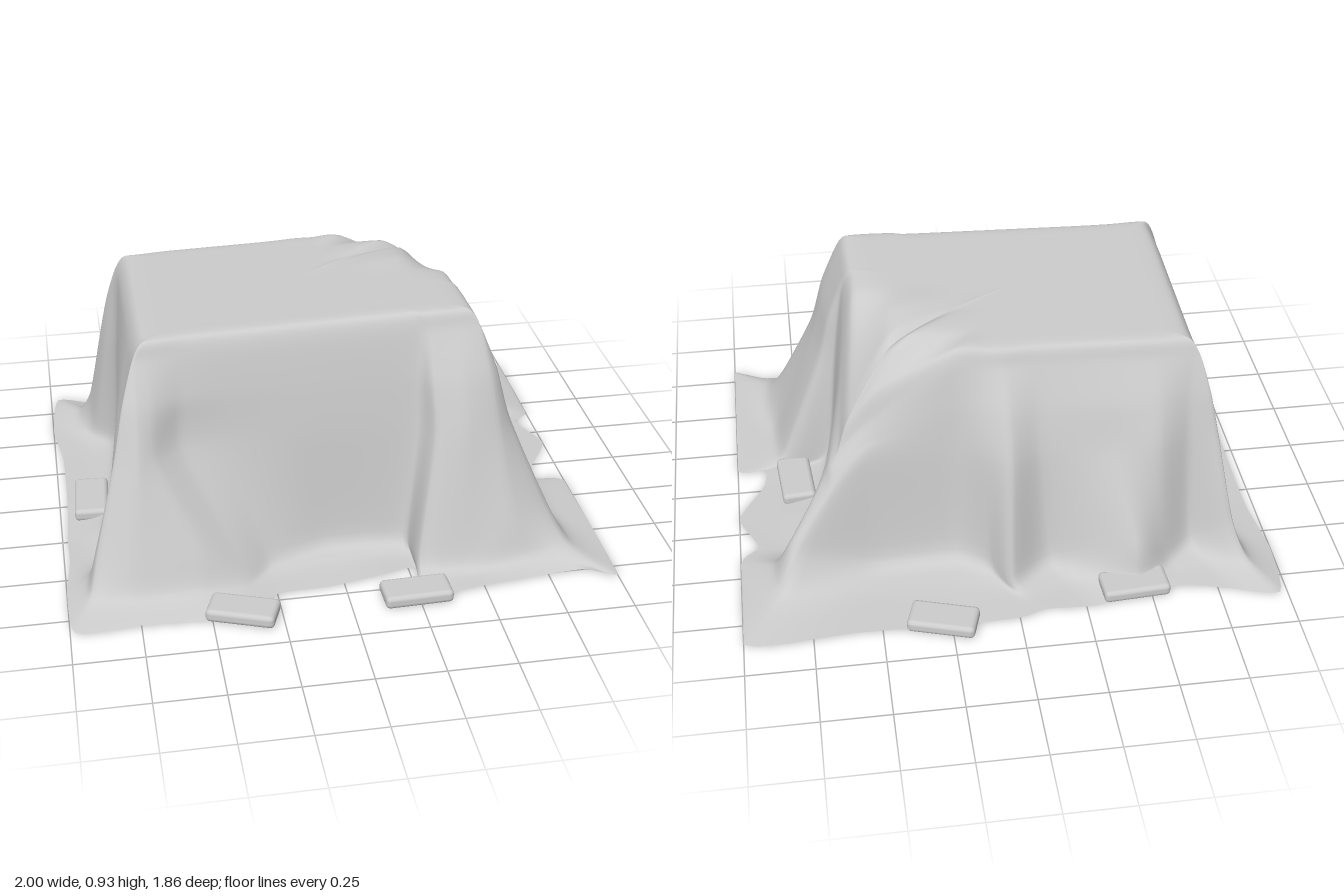
import * as THREE from 'three';
import { RoundedBoxGeometry } from 'three/addons/geometries/RoundedBoxGeometry.js';

const material = () => new THREE.MeshStandardMaterial({ color: 0xcccccc, side: THREE.DoubleSide });
const { clamp, lerp } = THREE.MathUtils;

// Cloth outlines as [x, z], running front, +x side, back, -x side.
// Each has the same columns, so a fold keeps its column from waist to hem.
const waist = [
  [-.80, .52], [-.72, .56], [-.65, .54], [-.55, .47], [-.40, .45], [-.12, .45], [.13, .45], [.31, .46], [.36, .55],
  [.47, .57], [.60, .54], [.66, .47], [.67, .33], [.65, .17], [.59, .13], [.59, 0], [.61, -.18], [.65, -.36],
  [.68, -.45], [.65, -.50], [.50, -.48], [.20, -.48], [.08, -.55], [0, -.60], [-.12, -.54], [-.38, -.56], [-.55, -.57],
  [-.67, -.51], [-.78, -.52], [-.77, -.44], [-.73, -.33], [-.75, 0], [-.77, .22], [-.75, .38], [-.78, .47],
];
const foot = [
  [-.88, .62], [-.75, .67], [-.52, .66], [-.36, .63], [-.26, .55], [-.05, .49], [.15, .49], [.27, .51], [.29, .66],
  [.46, .68], [.64, .65], [.79, .56], [.82, .36], [.80, .14], [.64, .12], [.64, 0], [.68, -.20], [.74, -.42],
  [.81, -.52], [.77, -.57], [.50, -.53], [.20, -.53], [.08, -.60], [.01, -.70], [-.15, -.60], [-.45, -.70], [-.58, -.64],
  [-.69, -.57], [-.83, -.62], [-.83, -.50], [-.75, -.36], [-.79, 0], [-.83, .24], [-.81, .42], [-.87, .52],
];
const hem = [
  [-.98, .83], [-.75, .83], [-.55, .83], [-.36, .83], [-.25, .72], [-.05, .70], [.15, .67], [.28, .64], [.27, .82],
  [.50, .80], [.88, .75], [1, .81], [1, .50], [1, .14], [.89, .12], [.90, .02], [1, -.16], [.93, -.34],
  [1, -.42], [1, -.85], [.60, -.85], [.25, -.85], [0, -.85], [-.10, -.82], [-.28, -.82], [-.45, -.80], [-.62, -.76],
  [-.80, -.80], [-.97, -.85], [-1, -.60], [-.97, -.35], [-.97, 0], [-.98, .22], [-.98, .40], [-1, .60],
];
// Columns where the cloth bunches up into a small peak at its foot
const peaks = [0, 1, 2, 10, 11, 18, 19, 25, 28, 34];

// Height of the covered top, sloping off towards the back +x corner
function topY(x, z) {
  const d = 1.08 * x - .48 * z - .53;
  return .918 + .03 * x + .022 * z - (d + Math.sqrt(d * d + .0006)) / 2;
}

function makeCloth() {
  const V = (x, y, z) => new THREE.Vector3(x, y, z);
  // Edge of the covered top: the waist clamped to the box beneath, corners eased
  const edge = waist.map(([x, z]) => {
    const ez = clamp(z, -.42, .39);
    const ex = clamp(x, -.70, .53 + .13 * Math.max(0, .1 - ez));
    return [lerp(ex, x, .12), lerp(ez, z, .12)];
  });
  const topRing = (s, drop = 0) => edge.map(([x, z]) => {
    const px = lerp(-.085, x, s), pz = lerp(-.015, z, s);
    return V(px, topY(px, pz) - drop, pz);
  });
  const shoulder = topRing(1, .07);
  const waistY = shoulder.map(p => Math.min(.5, p.y - .13));
  const rows = [
    topRing(.001), topRing(.35), topRing(.7), topRing(.93, .006), shoulder,
    shoulder.map((p, i) => V(lerp(p.x, waist[i][0], .54), lerp(p.y, waistY[i], .45), lerp(p.z, waist[i][1], .54))),
    waist.map(([x, z], i) => V(x, waistY[i], z)),
    foot.map(([x, z], i) => V(x, peaks.includes(i) ? .19 : .09, z)),
    foot.map(([x, z], i) => V(lerp(x, hem[i][0], .35), peaks.includes(i) ? .06 : .03, lerp(z, hem[i][1], .35))),
    hem.map(([x, z], i) => V(x, .015 + .005 * Math.sin(i * 2.3), z)),
  ];

  // Smooth around each ring, then down each column
  const around = waist.length * 5, down = 54;
  const rings = rows.map(r => new THREE.CatmullRomCurve3(r, true, 'catmullrom', .3));
  const pos = [], index = [];
  for (let i = 0; i < around; i++) {
    const column = new THREE.CatmullRomCurve3(rings.map(c => c.getPoint(i / around)), false, 'catmullrom', .35);
    for (let j = 0; j <= down; j++) {
      const p = column.getPoint(j / down);
      pos.push(clamp(p.x, -1, 1), Math.max(p.y, .008), p.z);
    }
  }
  const at = (i, j) => (i % around) * (down + 1) + j;
  for (let i = 0; i < around; i++) {
    for (let j = 0; j < down; j++) {
      const a = at(i, j), b = at(i + 1, j), c = at(i, j + 1), d = at(i + 1, j + 1);
      index.push(a, c, b, b, c, d);
    }
  }
  const geometry = new THREE.BufferGeometry();
  geometry.setAttribute('position', new THREE.Float32BufferAttribute(pos, 3));
  geometry.setIndex(index);
  geometry.computeVertexNormals();
  const mesh = new THREE.Mesh(geometry, material());
  mesh.name = 'drapedCloth';
  return mesh;
}

export function createModel() {
  const group = new THREE.Group();
  group.name = 'coveredCrate';
  group.add(makeCloth());

  // Bricks weighing down the hem: x, z, turn
  const bricks = new THREE.Group();
  bricks.name = 'weightBricks';
  const brickGeometry = new RoundedBoxGeometry(.25, .05, .13, 2, .018);
  [
    [-.39, .825, -.36], [.24, .815, .03], [-.875, 0, 1.52],
    [.77, .02, 1.65], [-.44, -.75, .06], [.28, -.84, -.3],
  ].forEach(([x, z, turn], i) => {
    const brick = new THREE.Mesh(brickGeometry, material());
    brick.name = `brick${i + 1}`;
    brick.position.set(x, .037, z);
    brick.rotation.y = turn;
    bricks.add(brick);
  });
  group.add(bricks);
  return group;
}
